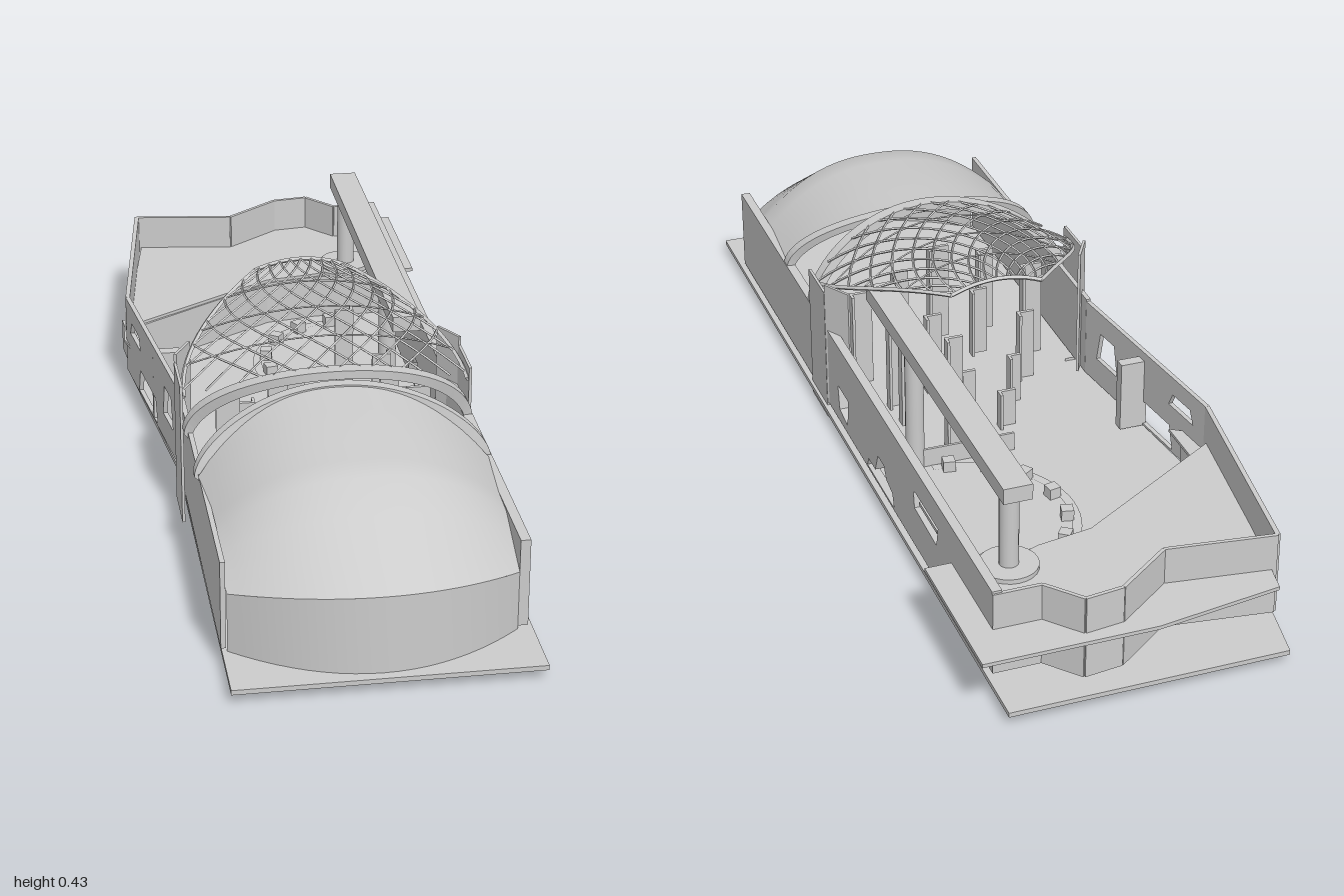
import * as THREE from 'three';

const grey = new THREE.MeshStandardMaterial({ color: 0xcccccc, side: THREE.DoubleSide });
const flat = new THREE.MeshStandardMaterial({ color: 0xcccccc, side: THREE.DoubleSide, flatShading: true });

export function createModel() {
  const model = new THREE.Group();

  const add = (name, geometry, material = flat) => {
    const mesh = new THREE.Mesh(geometry, material);
    mesh.name = name;
    model.add(mesh);
    return mesh;
  };
  const box = (name, x0, x1, y0, y1, z0, z1) =>
    add(name, new THREE.BoxGeometry(x1 - x0, y1 - y0, z1 - z0))
      .position.set((x0 + x1) / 2, (y0 + y1) / 2, (z0 + z1) / 2);
  const outline = (pts) => new THREE.Shape(pts.map(([x, y]) => new THREE.Vector2(x, y)));

  // Horizontal slab from [x, z] points, top at y
  const slab = (name, pts, y, thick) => {
    const g = new THREE.ExtrudeGeometry(outline(pts), { depth: thick, bevelEnabled: false });
    g.rotateX(Math.PI / 2);
    add(name, g).position.y = y;
  };

  // Upright panel from a to b ([x, z]); holes are [distance, y] outlines
  const wall = (name, a, b, y0, y1, thick = 0.01, holes = []) => {
    const dx = b[0] - a[0], dz = b[1] - a[1], len = Math.hypot(dx, dz);
    const s = outline([[0, y0], [len, y0], [len, y1], [0, y1]]);
    holes.forEach((h) => s.holes.push(outline(h)));
    const g = new THREE.ExtrudeGeometry(s, { depth: thick, bevelEnabled: false });
    g.translate(0, 0, -thick / 2);
    const m = add(name, g);
    m.rotation.y = -Math.atan2(dz, dx);
    m.position.set(a[0], 0, a[1]);
  };

  // Sheet from a rule f(u, v) with u and v in 0..1
  const sheet = (name, f, nu, nv, material = grey) => {
    const pos = [], idx = [];
    for (let j = 0; j <= nv; j++) for (let i = 0; i <= nu; i++) pos.push(...f(i / nu, j / nv));
    for (let j = 0; j < nv; j++) for (let i = 0; i < nu; i++) {
      const a = j * (nu + 1) + i, b = a + 1, c = a + nu + 1, d = c + 1;
      idx.push(a, b, c, b, d, c);
    }
    const g = new THREE.BufferGeometry();
    g.setAttribute('position', new THREE.Float32BufferAttribute(pos, 3));
    g.setIndex(idx);
    g.computeVertexNormals();
    add(name, g, material);
  };

  // Ground plate
  slab('groundPlate', [[-0.265, -1], [-0.3, -0.8], [-0.35, -0.42], [-0.29, 0.1], [-0.29, 1], [0.31, 1], [0.31, -1]], 0.033, 0.01);

  // Rear terrace with a rounded edge around the rear column
  const terrace = [[-0.265, -0.94], [0, -0.98], [0.355, -0.98], [0.355, -0.65], [0.26, -0.65]];
  for (let i = 0; i <= 8; i++) {
    const a = 0.6 + i * 0.24;
    terrace.push([0.2 + 0.07 * Math.cos(a), -0.7 + 0.07 * Math.sin(a)]);
  }
  terrace.push([0.12, -0.65], [0, -0.63], [-0.355, -0.41]);
  slab('terrace', terrace, 0.142, 0.008);
  const step = [[0.28, -0.65], [0.12, -0.65], [0, -0.63], [-0.35, -0.41]];
  for (let i = 0; i < 3; i++) wall('terraceStep', step[i], step[i + 1], 0.033, 0.135, 0.006);

  // Right wall; distance runs backward from its front end at z = 0.86
  const at = (pts) => pts.map(([z, y]) => [0.86 - z, y]);
  wall('rightWall', [0.29, 0.86], [0.29, -0.88], 0.04, 0.225, 0.02, [
    at([[0.095, 0.125], [0.085, 0.07], [0.03, 0.06], [0.02, 0.125]]),
    at([[-0.11, 0.045], [-0.12, 0.065], [-0.165, 0.065], [-0.185, 0.11], [-0.225, 0.11], [-0.24, 0.085], [-0.28, 0.075], [-0.29, 0.045]]),
    at([[-0.42, 0.165], [-0.425, 0.13], [-0.56, 0.125], [-0.57, 0.17], [-0.43, 0.17]]),
    at([[-0.76, 0.068], [-0.75, 0.045], [-0.84, 0.045], [-0.86, 0.068]]),
  ]);
  box('windowRail', 0.285, 0.295, 0.144, 0.152, -0.55, -0.44);

  // Left wall, bulging outward behind the dome
  const gap = (d0, d1, y0, y1) => [[d0, y0], [d1, y0], [d1 - 0.015, y1], [d0 + 0.015, y1]];
  wall('leftWall', [-0.287, 0.86], [-0.285, 0.1], 0.04, 0.225);
  wall('leftWall', [-0.285, 0.1], [-0.35, -0.4], 0.04, 0.22, 0.01,
    [gap(0.05, 0.14, 0.1, 0.17), gap(0.2, 0.38, 0.045, 0.1), gap(0.36, 0.46, 0.15, 0.18)]);
  wall('leftWall', [-0.35, -0.4], [-0.285, -0.88], 0.04, 0.22);
  slab('leftLedge', [[-0.34, -0.32], [-0.36, -0.4], [-0.345, -0.55], [-0.31, -0.55], [-0.31, -0.3]], 0.115, 0.007);
  wall('leftLedgeFace', [-0.335, -0.32], [-0.35, -0.52], 0.04, 0.11);
  box('leftPier', -0.32, -0.26, 0.04, 0.2, -0.155, -0.13);

  // Rear wall with a projecting bay
  const rear = [[-0.285, -0.88], [-0.06, -0.85], [0.06, -0.94], [0.14, -0.95], [0.2, -0.88], [0.3, -0.88]];
  for (let i = 0; i < rear.length - 1; i++) wall('rearWall', rear[i], rear[i + 1], 0.04, 0.22, 0.008);

  // Bowed front facade and vaulted front roof
  const nose = (t) => [0.28 * t, 0.195 - 0.038 * t * t, 0.98 - 0.12 * t * t];
  sheet('facade', (u, v) => {
    const [x, y, z] = nose(2 * u - 1);
    return [x, 0.022 + (y - 0.022) * v, z];
  }, 20, 1);
  sheet('frontRoof', (u, v) => {
    const t = 2 * u - 1, k = 1 - Math.pow(Math.abs(t), 2.4);
    const rows = [nose(t), [0.285 * t, 0.215 + 0.115 * k, 0.76 - 0.03 * t * t],
      [0.29 * t, 0.222 + 0.126 * k, 0.57], [0.292 * t, 0.225 + 0.135 * k, 0.4 + 0.11 * t * t]];
    const i = Math.min(2, Math.floor(v * 3)), f = v * 3 - i;
    return rows[i].map((c, n) => c + (rows[i + 1][n] - c) * f);
  }, 24, 9);

  // Two ribbon arches where the roof meets the dome
  const arch = (name, zTop, zSide, yTop, ySide, w, h) => sheet(name, (u, v) => {
    const a = Math.PI * u, c = Math.cos(a);
    const corner = [[0, 0], [0, 1], [1, 1], [1, 0], [0, 0]][Math.round(v * 4)];
    const t = c * c, k = Math.pow(Math.sin(a), 1.15);
    return [(0.285 + 0.014 * corner[1]) * c, ySide + (yTop - ySide) * k + (corner[1] - 1) * h,
      zTop + (zSide - zTop) * t + (corner[0] - 0.5) * w];
  }, 40, 4, flat);
  arch('roofArch', 0.41, 0.49, 0.362, 0.22, 0.025, 0.014);
  arch('domeArch', 0.385, 0.3, 0.382, 0.222, 0.03, 0.018);

  // Lattice dome: u across (-1..1), v from the back edge to the arch
  const dome = (u, v) => {
    const x = u * (0.1 + 0.195 * Math.sin(v * Math.PI / 2));
    const z = -0.085 + v * (0.465 - 0.1 * u * u);
    const crown = 0.424 - 0.045 * Math.pow(v, 2.2);
    return new THREE.Vector3(x, crown - 0.9 * x * x - 0.012 * u * u, z);
  };
  const rod = (name, u0, v0, u1, v1, r) => {
    const pts = [];
    for (let i = 0; i <= 12; i++) pts.push(dome(u0 + (u1 - u0) * i / 12, v0 + (v1 - v0) * i / 12));
    add(name, new THREE.TubeGeometry(new THREE.CatmullRomCurve3(pts), 16, r, 4));
  };
  for (const s of [1, -1]) {
    for (let i = -8; i < 9; i++) {
      // Each bar moves one unit of u over the full length, clipped at the rim
      const u0 = i / 4.5, slope = 1.3;
      const vA = Math.max(0, (-1 - u0) / slope), vB = Math.min(1, (1 - u0) / slope);
      if (vB - vA > 0.05) rod('latticeBar', s * (u0 + slope * vA), vA, s * (u0 + slope * vB), vB, 0.0028);
    }
    rod('domeRim', s, 0, s, 1, 0.005);
  }
  rod('domeBackRim', -1, 0, 1, 0, 0.005);
  for (const v of [0.25, 0.5, 0.75]) rod('latticeHoop', -1, v, 1, v, 0.002);

  // Side panels carrying the dome
  for (const s of [1, -1]) {
    wall('domeSidePanel', [s * 0.3, 0.285], [s * 0.3, 0.17], 0.003, 0.315, 0.006);
    wall('domeReturnPanel', [s * 0.3, 0.17], [s * 0.265, 0.11], 0.04, 0.335, 0.006);
    const fin = outline([[s * 0.3, 0.003], [s * 0.3, 0.04], [s * 0.26, 0.04], [s * 0.26, 0.022]]);
    add('panelFoot', new THREE.ShapeGeometry(fin)).position.z = 0.17;
  }

  // Long beam on two columns
  box('beam', 0.17, 0.23, 0.322, 0.356, -0.75, 0.1);
  for (const [z, y0] of [[-0.13, 0.033], [-0.7, 0.142]]) {
    add('column', new THREE.CylinderGeometry(0.02, 0.02, 0.325 - y0, 16), grey).position.set(0.2, (0.325 + y0) / 2, z);
  }
  add('columnBase', new THREE.CylinderGeometry(0.06, 0.06, 0.012, 24)).position.set(0.2, 0.146, -0.7);

  // Ring of stools around a curved floor band
  const band = new THREE.RingGeometry(0.215, 0.235, 32, 1, Math.PI / 2, Math.PI);
  band.rotateX(-Math.PI / 2);
  add('floorBand', band).position.set(0.17, 0.035, -0.38);
  for (let i = 0; i < 8; i++) {
    const a = Math.PI * (0.55 + i * 0.13);
    const stool = add('stool', new THREE.BoxGeometry(0.026, 0.025, 0.026));
    stool.position.set(0.17 + 0.205 * Math.cos(a), 0.045, -0.38 + 0.215 * Math.sin(a));
    stool.rotation.y = -a;
  }
  box('lowScreen', -0.02, 0.26, 0.033, 0.075, -0.143, -0.137);

  // Standing panels under the dome: [x, z, width, bottom, top]
  const panels = [[-0.2, 0.24, 0.05, 0.03, 0.26], [-0.1, 0.27, 0.04, 0.1, 0.3], [0, 0.3, 0.05, 0.08, 0.31],
    [0.1, 0.27, 0.04, 0.03, 0.28], [0.2, 0.24, 0.05, 0.03, 0.26], [-0.15, 0.14, 0.04, 0.03, 0.2],
    [-0.05, 0.17, 0.04, 0.1, 0.26], [0.06, 0.16, 0.04, 0.03, 0.22], [0.16, 0.12, 0.04, 0.03, 0.24],
    [-0.09, 0.05, 0.03, 0.003, 0.15], [0.02, 0.05, 0.04, 0.03, 0.13], [0.095, -0.08, 0.04, 0.005, 0.3],
    [0.155, 0.05, 0.04, 0.012, 0.25], [-0.04, -0.04, 0.04, 0.03, 0.12]];
  for (const [x, z, w, y0, y1] of panels) {
    box('standingPanel', x - w / 2, x + w / 2, y0, y1, z - 0.004, z + 0.004);
    box('panelSide', x + w / 2 - 0.006, x + w / 2, y0, y1, z - 0.02, z);
  }
  return model;
}
